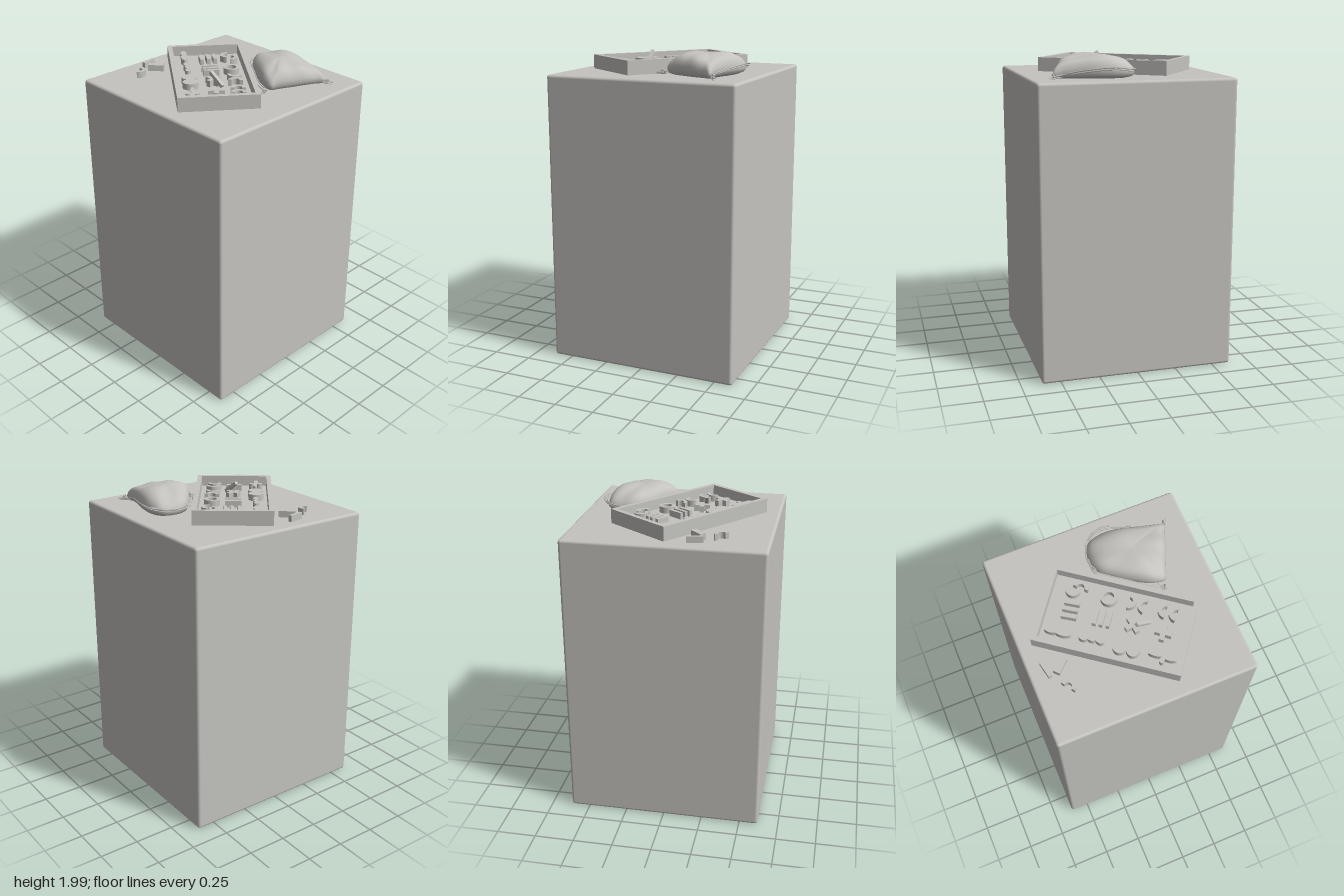
import * as THREE from 'three';
import { RoundedBoxGeometry } from 'three/addons/geometries/RoundedBoxGeometry.js';

const grey = new THREE.MeshStandardMaterial({ color: 0xc4c3bf, side: THREE.DoubleSide });
grey.name = 'warmGrey';
const TABLE = 1.85, FLOOR = 1.875, PIECE = 0.04;

function add(group, name, geometry, x = 0, y = 0, z = 0) {
  const mesh = new THREE.Mesh(geometry, grey);
  mesh.name = name;
  mesh.position.set(x, y, z);
  group.add(mesh);
  return mesh;
}

// Upright slab: the shape's x, y become x, z and its base sits at y = 0
function slab(shape, depth) {
  return new THREE.ExtrudeGeometry(shape, { depth, bevelEnabled: false, curveSegments: 20 })
    .rotateX(Math.PI / 2).translate(0, depth, 0);
}

function rect(w, l, Type = THREE.Shape) {
  return new Type([[-w, -l], [w, -l], [w, l], [-w, l]].map(([x, y]) => new THREE.Vector2(x / 2, y / 2)));
}

// Rounded pedestal with its flat underside left open
function pedestal() {
  const src = new RoundedBoxGeometry(1.24, TABLE, 1.24, 4, 0.018);
  const p = src.attributes.position, n = src.attributes.normal, pos = [], nor = [];
  for (let i = 0; i < p.count; i += 3) {
    if ([0, 1, 2].every(k => p.getY(i + k) < -TABLE / 2 + 1e-5)) continue;
    for (let k = i; k < i + 3; k++) {
      pos.push(p.getX(k), p.getY(k), p.getZ(k));
      nor.push(n.getX(k), n.getY(k), n.getZ(k));
    }
  }
  const g = new THREE.BufferGeometry();
  g.setAttribute('position', new THREE.Float32BufferAttribute(pos, 3));
  g.setAttribute('normal', new THREE.Float32BufferAttribute(nor, 3));
  return g;
}

// Soft sack: rings scaled from an outline of (x, edge height, z)
function sack() {
  const outline = new THREE.CatmullRomCurve3([
    [0.27, 0.10, -0.01], [0.35, 0.07, -0.035], [0.455, 0.08, -0.005], [0.483, 0.10, 0.07],
    [0.47, 0.12, 0.2], [0.432, 0.12, 0.33], [0.415, 0.09, 0.42], [0.405, 0.05, 0.48], [0.36, 0.08, 0.46],
    [0.24, 0.12, 0.415], [0.11, 0.12, 0.355], [0.07, 0.09, 0.335], [0.078, 0.12, 0.26],
    [0.14, 0.13, 0.15], [0.21, 0.12, 0.055],
  ].map(a => new THREE.Vector3(...a)), true);
  const profile = [[0, 0], [0.8, 0], [0.94, 0.1], [1, 0.3], [0.99, 0.5], [0.95, 0.7], [0.87, 0.86],
    [0.75, 0.94], [0.6, 0.98], [0.4, 1], [0.2, 1], [0, 1]];
  const N = 96, cx = 0.29, cz = 0.21, pos = [], idx = [];
  profile.forEach(([s, f], j) => {
    for (let i = 0; i < N; i++) {
      const o = outline.getPoint(i / N), x = cx + (o.x - cx) * s, z = cz + (o.z - cz) * s;
      const folds = 0.007 * Math.sin(17 * x + 6 * z) * Math.cos(19 * z - 8 * x)
        + 0.004 * s * Math.sin(45 * x + 20 * z);
      pos.push(x, TABLE + f * (0.138 + (o.y - 0.138) * s * s * 0.7 + folds), z);
      if (j) {
        const a = (j - 1) * N + i, b = (j - 1) * N + (i + 1) % N;
        idx.push(a, a + N, b, b, a + N, b + N);
      }
    }
  });
  const g = new THREE.BufferGeometry();
  g.setAttribute('position', new THREE.Float32BufferAttribute(pos, 3));
  g.setIndex(idx);
  g.computeVertexNormals();
  return g;
}

export function createModel() {
  const model = new THREE.Group();
  model.name = 'pedestalDisplay';
  add(model, 'pedestal', pedestal(), 0, TABLE / 2, 0);

  // Tray: rim with a recessed floor
  const tray = new THREE.Group();
  tray.name = 'tray';
  tray.position.set(-0.07, TABLE, -0.037);
  tray.rotation.y = -0.648;
  const rim = rect(0.489, 0.878);
  rim.holes.push(rect(0.43, 0.82, THREE.Path));
  add(tray, 'trayRim', slab(rim, 0.09));
  add(tray, 'trayFloor', new THREE.BoxGeometry(0.432, FLOOR - TABLE, 0.822), 0, (FLOOR - TABLE) / 2, 0);
  model.add(tray);

  const pieces = new THREE.Group();
  pieces.name = 'loosePieces';
  model.add(pieces);

  // Oval pieces: x, z, long radius, short radius, angle
  for (const [x, z, a, b, t] of [
    [0.025, -0.402, 0.042, 0.02, -0.9], [-0.02, -0.345, 0.048, 0.021, -0.95],
    [-0.09, -0.25, 0.027, 0.018, -0.8], [-0.117, -0.207, 0.025, 0.016, -0.9], [-0.147, -0.168, 0.026, 0.018, -0.8],
    [-0.22, -0.075, 0.048, 0.043, 0.6], [-0.267, -0.012, 0.048, 0.042, 0.6],
    [-0.347, 0.097, 0.047, 0.014, -0.95], [-0.4, 0.155, 0.042, 0.015, -0.9],
    [-0.393, 0.112, 0.02, 0.015, 0.6], [-0.357, 0.14, 0.021, 0.016, 0.5],
  ]) {
    const oval = new THREE.Shape().absellipse(0, 0, a, b, 0, Math.PI * 2, false, t);
    add(pieces, 'ovalPiece', slab(oval, PIECE), x, FLOOR, z);
  }

  // Bars, crosses and the two bars on the table: x, z, length, width, angle, base
  for (const [x, z, l, w, t, y = FLOOR] of [
    [0.063, -0.277, 0.09, 0.022, -0.98], [0.1, -0.253, 0.09, 0.022, -0.98], [0.133, -0.227, 0.09, 0.022, -0.98],
    [0.003, -0.133, 0.1, 0.022, 0.64], [-0.02, -0.1, 0.1, 0.022, 0.64], [-0.043, -0.067, 0.1, 0.022, 0.64],
    [-0.13, 0.045, 0.1, 0.028, -0.12], [-0.13, 0.045, 0.1, 0.028, 1.45],
    [-0.24, 0.187, 0.1, 0.03, 0.7], [-0.24, 0.187, 0.1, 0.03, 2.27],
    [-0.18, -0.515, 0.1, 0.022, -0.2, TABLE], [-0.187, -0.43, 0.1, 0.042, 0.83, TABLE],
  ]) {
    const bar = add(pieces, 'barPiece', new THREE.BoxGeometry(l, PIECE, w), x, y + PIECE / 2, z);
    bar.rotation.y = -t;
  }
  const leaning = add(pieces, 'leaningBar', new THREE.BoxGeometry(0.022, 0.022, 0.115), -0.152, 1.931, 0.098);
  leaning.rotation.set(0.65, 0.1, 0);

  // Half rings: x, z, direction of the opening, base
  for (const [x, z, open, y = FLOOR] of [
    [0.212, -0.19, 0.8], [0.202, -0.148, -2.35], [0.017, 0.08, -0.85], [-0.05, 0.157, 2.4],
    [-0.123, 0.254, 2.3], [-0.167, 0.304, 2.3], [-0.327, -0.437, -2.2, TABLE],
  ]) {
    const a = open + Math.PI / 2, b = open + Math.PI * 1.5;
    const arc = new THREE.Shape().absarc(0, 0, 0.046, a, b, false).absarc(0, 0, 0.024, b, a, true);
    add(pieces, 'halfRingPiece', slab(arc, PIECE), x, y, z);
  }
  const ring = new THREE.Shape().absarc(0, 0, 0.05, 0, Math.PI * 2, false);
  ring.holes.push(new THREE.Path().absarc(0, 0, 0.031, 0, Math.PI * 2, true));
  add(pieces, 'ringPiece', slab(ring, PIECE), 0.083, FLOOR, -0.017);

  // Drawstring bag with a pair of cords on each side
  const bag = new THREE.Group();
  bag.name = 'drawstringBag';
  add(bag, 'bagBody', sack());
  const cords = [
    [[0.36, 1.9, -0.035], [0.28, 1.91, -0.033], [0.21, 1.92, 0.03], [0.14, 1.91, 0.13], [0.075, 1.89, 0.23],
      [0.058, 1.87, 0.3], [0.035, 1.865, 0.31], [-0.015, 1.862, 0.305]],
    [[0.45, 1.9, -0.01], [0.5, 1.91, 0.04], [0.515, 1.92, 0.12], [0.48, 1.91, 0.24], [0.43, 1.89, 0.36],
      [0.412, 1.875, 0.42], [0.425, 1.868, 0.47], [0.452, 1.862, 0.51]],
  ];
  for (const path of cords) {
    for (const k of [0, 1]) {
      const curve = new THREE.CatmullRomCurve3(path.map(([x, y, z]) =>
        new THREE.Vector3(x - 0.009 * k, y - 0.012 * k, z - 0.003 * k)));
      add(bag, 'cord', new THREE.TubeGeometry(curve, 60, 0.0038, 6));
    }
    const [x, y, z] = path[6];
    add(bag, 'cordKnot', new THREE.TorusKnotGeometry(0.009, 0.004, 40, 6), x, y + 0.003, z + 0.012);
  }
  // Gathered cord loops at the neck
  const neck = new THREE.CatmullRomCurve3([[0.27, 1.915, -0.02], [0.35, 1.9, -0.042], [0.41, 1.9, -0.03],
    [0.46, 1.905, -0.005], [0.488, 1.91, 0.05]].map(a => new THREE.Vector3(...a)));
  add(bag, 'neckCord', new THREE.TubeGeometry(neck, 30, 0.0045, 6));
  model.add(bag);
  return model;
}
